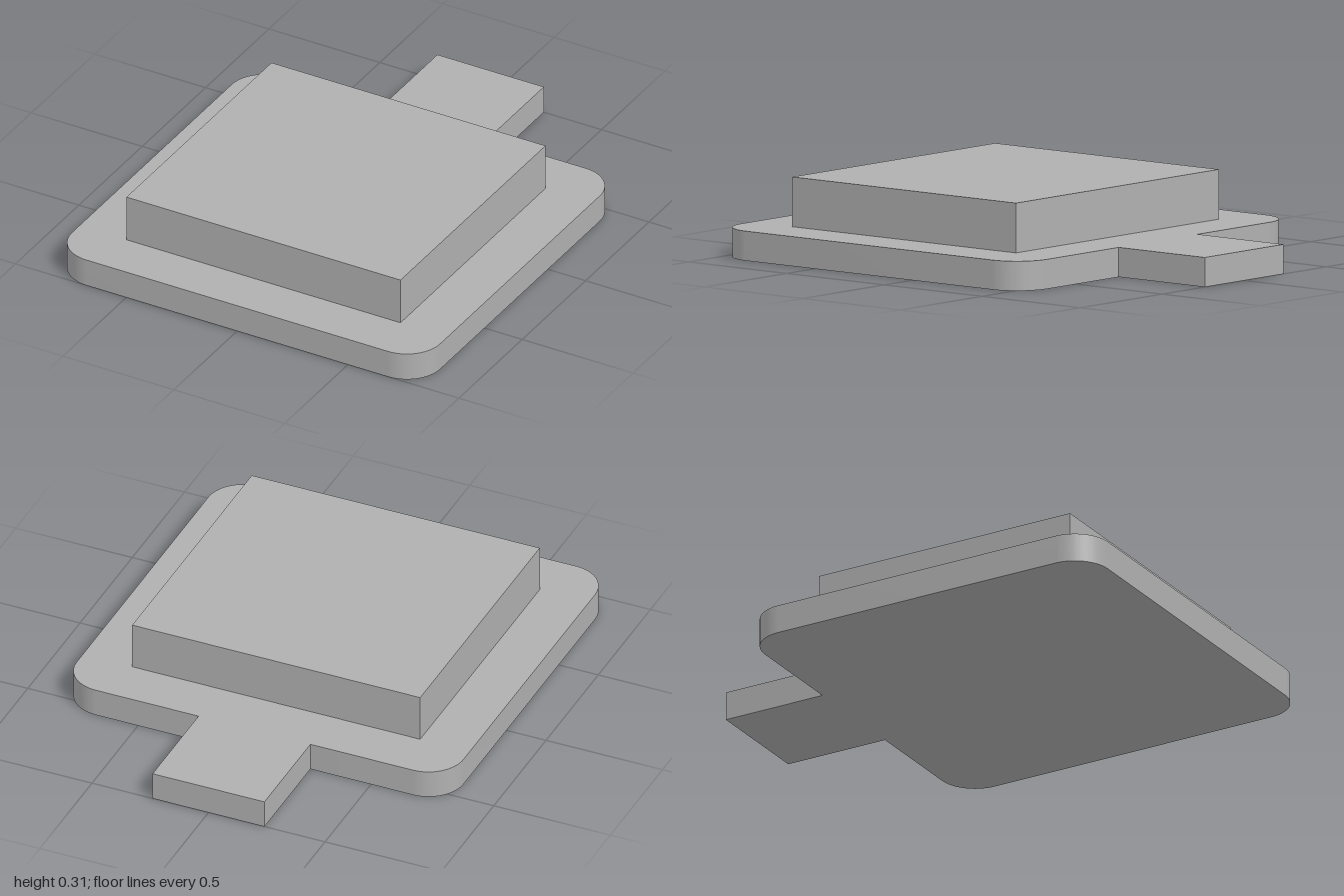
import * as THREE from 'three';
import { toCreasedNormals } from 'three/addons/utils/BufferGeometryUtils.js';

const BASE_HEIGHT = 0.117;
const BLOCK_HEIGHT = 0.197;

// Outline in plan: shape y points to the back (-z)
function baseOutline() {
  const w = 0.83, front = -1, back = 0.56, r = 0.15, tab = 0.24, tabEnd = 1;
  const s = new THREE.Shape();
  s.moveTo(-w + r, front);
  s.lineTo(w - r, front);
  s.absarc(w - r, front + r, r, -Math.PI / 2, 0);
  s.lineTo(w, back - r);
  s.absarc(w - r, back - r, r, 0, Math.PI / 2);
  // Tab at the back
  s.lineTo(tab, back);
  s.lineTo(tab, tabEnd);
  s.lineTo(-tab, tabEnd);
  s.lineTo(-tab, back);
  s.lineTo(-w + r, back);
  s.absarc(-w + r, back - r, r, Math.PI / 2, Math.PI);
  s.lineTo(-w, front + r);
  s.absarc(-w + r, front + r, r, Math.PI, Math.PI * 1.5);
  return s;
}

export function createModel() {
  const model = new THREE.Group();
  model.name = 'steppedPlate';
  const grey = new THREE.MeshStandardMaterial({ color: 0xb0b0b0 });
  grey.name = 'grey';

  // Rounded base plate with its tab
  const baseGeometry = new THREE.ExtrudeGeometry(baseOutline(), {
    depth: BASE_HEIGHT, bevelEnabled: false, curveSegments: 16,
  });
  baseGeometry.rotateX(-Math.PI / 2);
  const base = new THREE.Mesh(toCreasedNormals(baseGeometry, 0.5), grey);
  base.name = 'basePlateWithTab';
  model.add(base);

  // Raised block on top
  const block = new THREE.Mesh(new THREE.BoxGeometry(1.236, BLOCK_HEIGHT, 1.144), grey);
  block.name = 'raisedBlock';
  block.position.set(0, BASE_HEIGHT + BLOCK_HEIGHT / 2, 0.22);
  model.add(block);

  return model;
}
